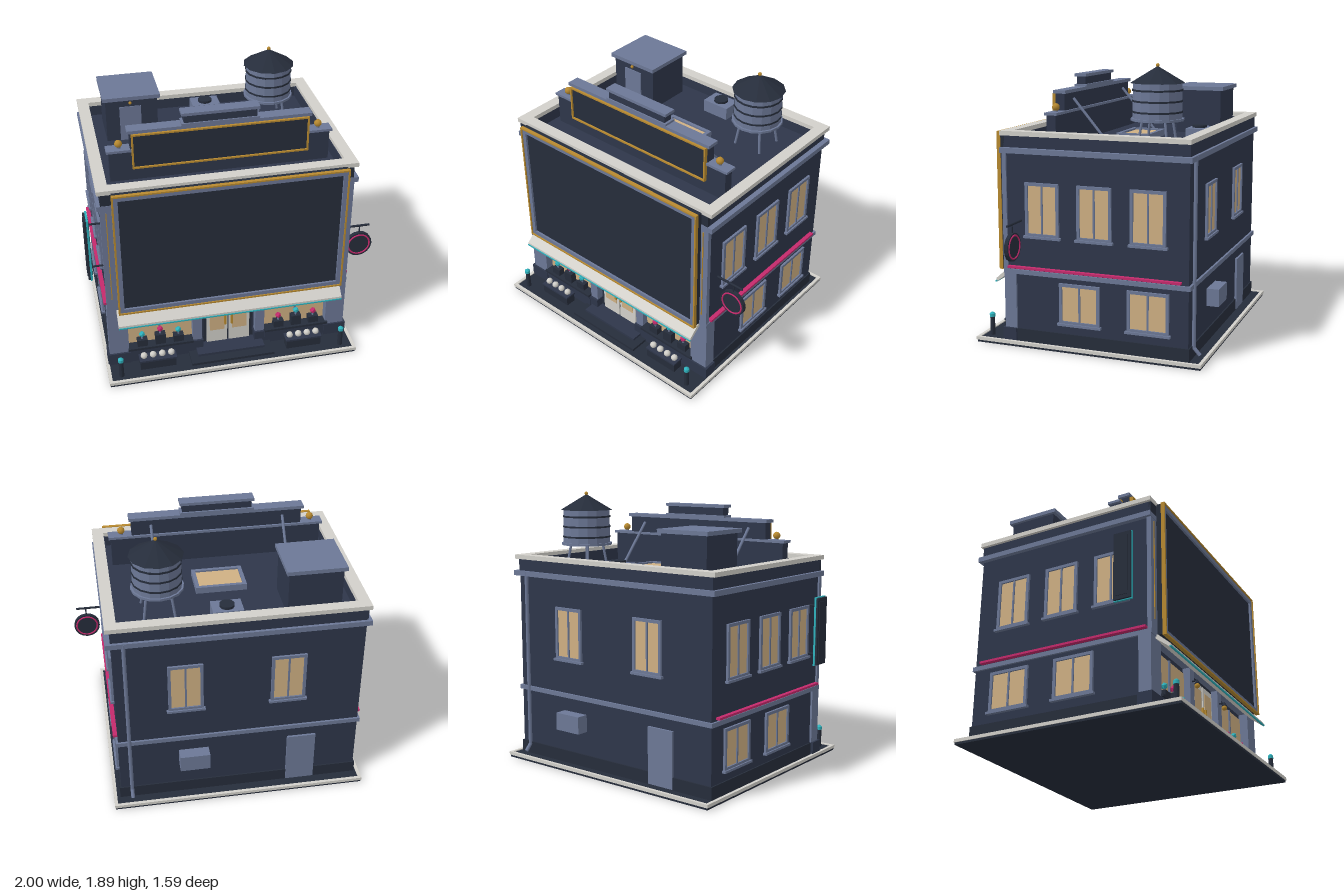
import * as THREE from 'three';

const mat = (name, color, extra = {}) => Object.assign(new THREE.MeshStandardMaterial({ color, ...extra }), { name });

export function createModel() {
  const navy = mat('navy wall', 0x2e364a), ink = mat('dark panel', 0x262d3b), slate = mat('slate trim', 0x6c7896);
  const cream = mat('cream stone', 0xd2d0ca), tan = mat('lit glass', 0xcfb083), gold = mat('gold', 0xb88a30);
  const magenta = mat('magenta', 0xc42a6c), teal = mat('teal', 0x2fb2bd);
  const root = new THREE.Group();
  let target = root;

  const add = (name, geo, m, x = 0, y = 0, z = 0) => {
    const mesh = new THREE.Mesh(geo, m);
    mesh.name = name;
    mesh.position.set(x, y, z);
    target.add(mesh);
    return mesh;
  };
  const box = (name, m, x0, x1, y0, y1, z0, z1) =>
    add(name, new THREE.BoxGeometry(x1 - x0, y1 - y0, z1 - z0), m, (x0 + x1) / 2, (y0 + y1) / 2, (z0 + z1) / 2);
  const cyl = (name, m, r0, r1, h, x, y, z, n = 12) => {
    const g = new THREE.CylinderGeometry(r0, r1, h, n).toNonIndexed();
    g.computeVertexNormals();
    return add(name, g, m, x, y, z);
  };
  const ball = (name, m, r, x, y, z) => add(name, new THREE.IcosahedronGeometry(r, 1), m, x, y, z);
  const rod = (name, m, r, a, b) => {
    const p = new THREE.Vector3(...a), d = new THREE.Vector3(...b).sub(p);
    const mesh = add(name, new THREE.CylinderGeometry(r, r, d.length(), 8), m);
    mesh.position.copy(p).addScaledVector(d, 0.5);
    mesh.quaternion.setFromUnitVectors(new THREE.Vector3(0, 1, 0), d.normalize());
    return mesh;
  };
  // Rectangular border of width w, facing +z
  const border = (name, m, x0, x1, y0, y1, w, z0, z1) => {
    const rect = (S, a, b, c, d) => { const s = new S(); s.moveTo(a, c); s.lineTo(b, c); s.lineTo(b, d); s.lineTo(a, d); s.closePath(); return s; };
    const s = rect(THREE.Shape, x0, x1, y0, y1);
    s.holes.push(rect(THREE.Path, x0 + w, x1 - w, y0 + w, y1 - w));
    return add(name, new THREE.ExtrudeGeometry(s, { depth: z1 - z0, bevelEnabled: false }), m, 0, 0, z0);
  };
  // The same border laid flat, as a ring between two heights
  const ring = (name, m, x0, x1, z0, z1, w, y0, y1) => {
    const r = border(name, m, x0, x1, -z1, -z0, w, 0, y1 - y0);
    r.rotation.x = -Math.PI / 2;
    r.position.set(0, y0, 0);
  };

  // Ground slab with pale kerb
  box('groundSlab', ink, -0.925, 0.825, 0, 0.03, -0.795, 0.785);
  ring('kerb', cream, -0.93, 0.83, -0.8, 0.79, 0.022, 0.015, 0.037);

  // Walls, belts and parapet
  box('groundFloor', navy, -0.885, 0.775, 0.03, 0.5, -0.7, 0.52);
  box('plinth', ink, -0.895, 0.785, 0.03, 0.115, -0.71, 0.53);
  box('upperFloor', navy, -0.885, 0.775, 0.5, 1.345, -0.7, 0.575);
  box('beltCourse', slate, -0.9, 0.79, 0.495, 0.525, -0.715, 0.59);
  ring('cornice', slate, -0.915, 0.815, -0.725, 0.592, 0.06, 1.31, 1.345);
  ring('parapet', navy, -0.89, 0.78, -0.705, 0.58, 0.055, 1.34, 1.43);
  ring('coping', cream, -0.91, 0.81, -0.715, 0.592, 0.078, 1.425, 1.455);

  // Front corner pilasters
  for (const s of [-1, 1]) {
    const X = (a, b) => [a, b].map(v => -0.055 + s * v).sort((p, q) => p - q);
    box('lowerPilaster', slate, ...X(0.71, 0.845), 0.115, 0.5, 0.5, 0.585);
    box('pilasterFoot', navy, ...X(0.7, 0.86), 0.03, 0.12, 0.5, 0.597);
    box('upperPilaster', slate, ...X(0.76, 0.842), 0.525, 1.31, 0.56, 0.59);
    box('pilasterInlay', gold, ...X(0.8, 0.806), 0.6, 1.29, 0.589, 0.595);
    box('parapetPier', ink, ...X(0.76, 0.835), 1.345, 1.425, 0.57, 0.589);
    box('sideNeonStrip', magenta, ...X(0.825, 0.86), 0.535, 0.55, -0.655, 0.555);
  }

  // Billboard
  box('billboard', ink, -0.82, 0.73, 0.51, 1.435, 0.57, 0.628);
  border('billboardFrame', slate, -0.814, 0.724, 0.512, 1.43, 0.03, 0.61, 0.643);
  border('billboardEdge', gold, -0.824, 0.734, 0.503, 1.441, 0.011, 0.625, 0.651);

  // Sloping awning with coloured lip
  const awning = new THREE.Shape([[0.57, 0.51], [0.6, 0.505], [0.682, 0.432], [0.682, 0.415], [0.67, 0.415], [0.57, 0.492]].map(p => new THREE.Vector2(...p)));
  const awn = add('awning', new THREE.ExtrudeGeometry(awning, { depth: 1.565, bevelEnabled: false }), cream, 0.73, 0, 0);
  awn.rotation.y = -Math.PI / 2;
  box('awningLip', teal, -0.835, 0.73, 0.409, 0.418, 0.676, 0.687);

  // Shopfront windows, displays and planters
  const bays = [[-0.77, -0.31, -0.54, [teal, magenta, teal], -0.576], [0.205, 0.67, 0.44, [magenta, teal, magenta], 0.47]];
  for (const [x0, x1, c, gems, pc] of bays) {
    box('shopGlass', tan, x0, x1, 0.13, 0.46, 0.518, 0.526);
    box('shopMullion', slate, c - 0.007, c + 0.007, 0.13, 0.46, 0.525, 0.537);
    box('stallRiser', navy, x0, x1, 0.03, 0.135, 0.51, 0.59);
    box('sillRail', ink, x0, x1, 0.13, 0.147, 0.51, 0.6);
    gems.forEach((m, i) => {
      const x = c + (i - 1) * 0.128, top = i === 1 ? 0.227 : 0.2;
      box('pedestal', ink, x - 0.036, x + 0.036, 0.14, top, 0.535, 0.582);
      cyl('gemStem', slate, 0.006, 0.008, 0.03, x, top + 0.01, 0.558, 6);
      add('gem', new THREE.IcosahedronGeometry(0.023, 0), m, x, top + 0.038, 0.558);
    });
    box('planter', ink, pc - 0.125, pc + 0.125, 0.03, 0.1, 0.615, 0.69);
    box('planterRim', navy, pc - 0.13, pc + 0.13, 0.095, 0.108, 0.61, 0.695);
    for (let i = 0; i < 4; i++) ball('planterBloom', cream, 0.024, pc + (i - 1.5) * 0.064, 0.124, 0.652);
  }

  // Entrance: columns, lanterns, double door and steps
  for (const s of [-1, 1]) {
    const x = -0.052 + s * 0.225;
    box('doorColumn', slate, x - 0.033, x + 0.033, 0.11, 0.5, 0.51, 0.57);
    box('columnFoot', navy, x - 0.04, x + 0.04, 0.03, 0.13, 0.51, 0.585);
    rod('lanternArm', ink, 0.006, [x, 0.41, 0.56], [x, 0.41, 0.607]);
    cyl('lanternCap', ink, 0.008, 0.02, 0.022, x, 0.398, 0.605, 8);
    ball('lanternGlobe', gold, 0.018, x, 0.374, 0.605);
    const d = -0.05 + s * 0.08;
    box('doorLeaf', cream, d - 0.074, d + 0.074, 0.065, 0.46, 0.51, 0.54);
    box('doorGlass', tan, d - 0.053, d + 0.053, 0.17, 0.42, 0.539, 0.544);
    box('doorHandle', gold, -0.05 + s * 0.023 - 0.007, -0.05 + s * 0.023 + 0.007, 0.22, 0.3, 0.54, 0.558);
  }
  box('doorRecess', ink, -0.225, 0.125, 0.06, 0.49, 0.515, 0.529);
  box('upperStep', navy, -0.29, 0.19, 0.03, 0.066, 0.51, 0.66);
  box('lowerStep', ink, -0.345, 0.245, 0.03, 0.048, 0.51, 0.725);
  for (const x of [-0.84, 0.73]) {
    cyl('bollard', ink, 0.016, 0.018, 0.13, x, 0.095, 0.718);
    cyl('bollardLight', teal, 0.019, 0.019, 0.022, x, 0.168, 0.718);
    cyl('bollardTop', teal, 0.006, 0.019, 0.012, x, 0.185, 0.718);
  }

  // Sash window placed on a wall, facing along the given turn
  const sash = (x, z, turn, y0, y1, w) => {
    target = new THREE.Group();
    target.name = 'window';
    target.position.set(x, 0, z);
    target.rotation.y = turn;
    const h = w / 2;
    border('windowFrame', slate, -h, h, y0, y1, 0.02, -0.005, 0.016);
    box('windowGlass', tan, -h + 0.015, h - 0.015, y0 + 0.015, y1 - 0.015, -0.002, 0.005);
    box('windowMullion', slate, -0.006, 0.006, y0, y1, 0, 0.013);
    box('windowSill', slate, -h - 0.012, h + 0.012, y0 - 0.012, y0 + 0.004, -0.005, 0.026);
    root.add(target);
    target = root;
  };
  for (const [x, turn] of [[0.775, Math.PI / 2], [-0.885, -Math.PI / 2]]) {
    for (const z of [0.305, -0.062, -0.43]) sash(x, z, turn, 0.76, 1.12, 0.24);
    for (const z of [0.045, -0.43]) sash(x, z, turn, 0.185, 0.46, 0.285);
  }
  for (const x of [0.31, -0.38]) sash(x, -0.7, Math.PI, 0.76, 1.12, 0.235);

  // Back door, meter box and drainpipe
  box('backDoor', slate, -0.59, -0.39, 0.035, 0.42, -0.716, -0.69);
  box('meterBox', slate, 0.16, 0.365, 0.28, 0.4, -0.785, -0.7);
  rod('drainpipe', slate, 0.013, [0.7, 0.1, -0.715], [0.7, 1.34, -0.715]);
  rod('drainSpout', slate, 0.013, [0.7, 0.105, -0.712], [0.7, 0.055, -0.757]);

  // Upright blade sign on the right wall
  for (const y of [0.78, 1.12]) rod('bladeBracket', ink, 0.007, [-0.88, y, 0.437], [-0.97, y, 0.437]);
  box('bladeSign', ink, -0.996, -0.968, 0.715, 1.18, 0.377, 0.497);
  const blade = border('bladeSignEdge', teal, -0.063, 0.063, 0.71, 1.186, 0.008, -0.007, 0.007);
  blade.geometry.rotateY(Math.PI / 2);
  blade.position.set(-0.982, 0, 0.437);
  for (const x of [-1, -0.969]) box('bladeFace', ink, x, x + 0.005, 0.74, 1.155, 0.395, 0.479);

  // Round hanging sign on the left wall
  rod('signArm', ink, 0.008, [0.77, 0.86, 0.462], [0.975, 0.86, 0.462]);
  rod('signHanger', ink, 0.005, [0.905, 0.86, 0.462], [0.905, 0.79, 0.462]);
  cyl('roundSign', ink, 0.095, 0.095, 0.026, 0.905, 0.71, 0.462, 16).rotation.x = Math.PI / 2;
  for (const z of [0.449, 0.475]) add('roundSignNeon', new THREE.TorusGeometry(0.077, 0.006, 6, 24), magenta, 0.905, 0.71, z);

  // Stepped sign wall on the roof
  const tiers = [[-0.79, 0.69, 1.34, 1.555, 0.017], [-0.65, 0.545, 1.55, 1.685, 0.022], [-0.295, 0.19, 1.7, 1.775, 0.02]];
  for (const [x0, x1, y0, y1, t] of tiers) {
    box('signWall', navy, x0, x1, y0, y1, 0.24, 0.305);
    box('signWallCap', slate, x0 - 0.017, x1 + 0.017, y1, y1 + t, 0.227, 0.314);
  }
  box('crestFoot', slate, -0.312, 0.207, 1.705, 1.722, 0.227, 0.314);
  box('roofSign', ink, -0.635, 0.535, 1.44, 1.68, 0.3, 0.318);
  border('roofSignFrame', gold, -0.642, 0.542, 1.435, 1.685, 0.011, 0.305, 0.33);
  for (const x of [-0.722, 0.617]) {
    cyl('finialFoot', slate, 0.012, 0.016, 0.02, x, 1.575, 0.27);
    ball('finial', gold, 0.026, x, 1.602, 0.27);
  }
  for (const x of [-0.515, 0.41]) rod('signBrace', slate, 0.01, [x, 1.645, 0.235], [x, 1.345, -0.02]);

  // Stair house, ventilator and skylight
  box('stairHouse', navy, -0.745, -0.385, 1.34, 1.66, -0.57, -0.24);
  box('stairHouseRoof', slate, -0.765, -0.367, 1.655, 1.682, -0.59, -0.217);
  box('stairHouseDoor', slate, -0.65, -0.5, 1.345, 1.6, -0.245, -0.234);
  ball('stairLamp', gold, 0.012, -0.575, 1.63, -0.23);
  box('ventilator', slate, -0.092, 0.11, 1.34, 1.435, -0.6, -0.462);
  cyl('ventilatorFan', ink, 0.05, 0.05, 0.02, 0.009, 1.442, -0.531, 16);
  ring('skylightFrame', slate, -0.182, 0.165, -0.222, 0.02, 0.025, 1.34, 1.39);
  box('skylightGlass', tan, -0.162, 0.145, 1.37, 1.378, -0.202, 0);

  // Water tank on splayed legs
  const tx = 0.44, tz = -0.372;
  for (let i = 0; i < 4; i++) {
    const a = Math.PI / 4 + i * Math.PI / 2, c = Math.cos(a), s = Math.sin(a);
    rod('tankLeg', slate, 0.009, [tx + c * 0.145, 1.342, tz + s * 0.145], [tx + c * 0.11, 1.53, tz + s * 0.11]);
  }
  cyl('tankDeck', slate, 0.175, 0.175, 0.016, tx, 1.53, tz, 16);
  cyl('tank', slate, 0.16, 0.163, 0.24, tx, 1.65, tz, 16);
  for (const y of [1.58, 1.65, 1.72]) cyl('tankHoop', ink, 0.166, 0.166, 0.012, tx, y, tz, 16);
  cyl('tankRoof', ink, 0.004, 0.18, 0.105, tx, 1.818, tz, 12);
  ball('tankFinial', gold, 0.013, tx, 1.878, tz);

  return root;
}
